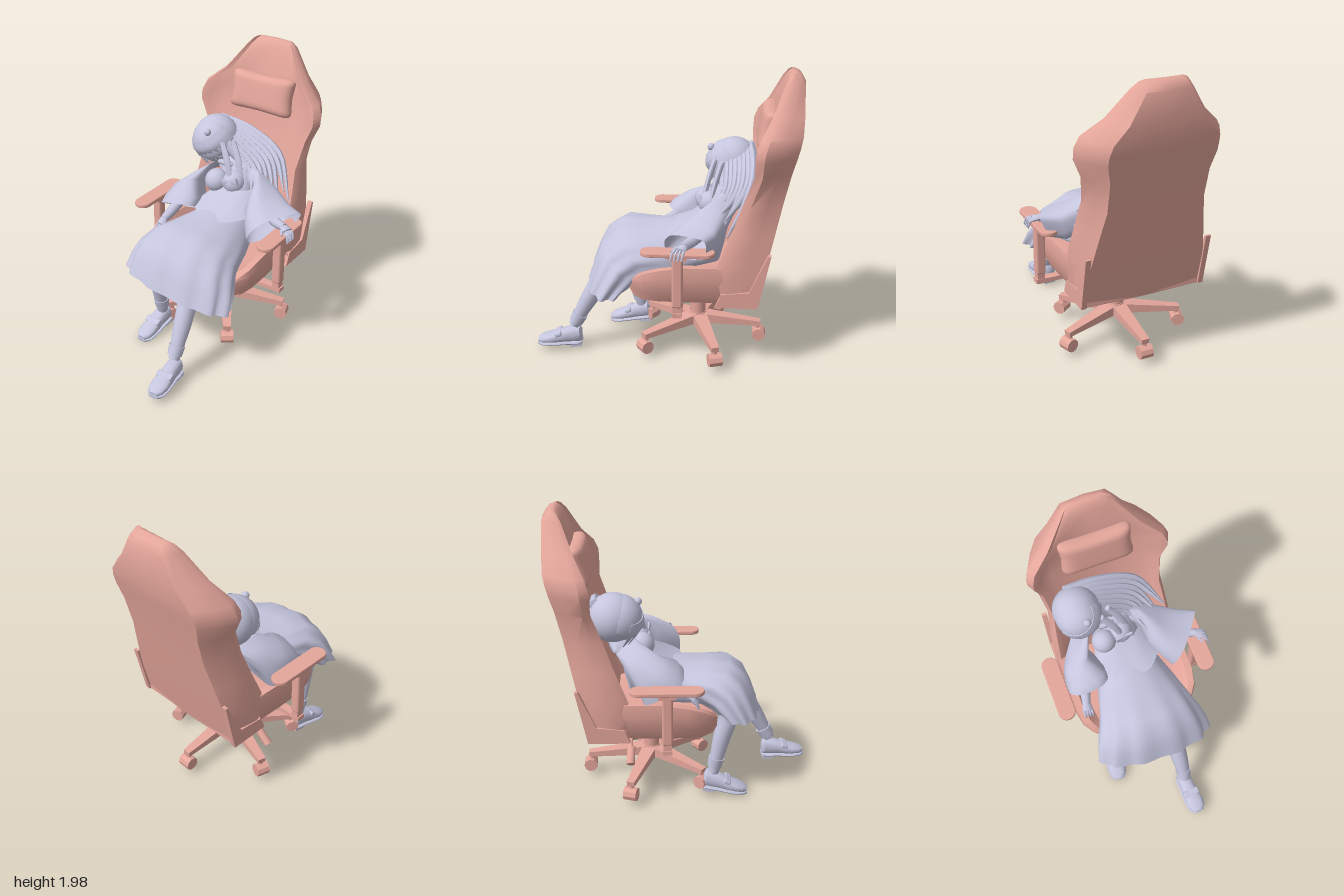
import * as THREE from 'three';
import { toCreasedNormals } from 'three/addons/utils/BufferGeometryUtils.js';
import { RoundedBoxGeometry } from 'three/addons/geometries/RoundedBoxGeometry.js';

const V = (x, y, z) => new THREE.Vector3(x, y, z);
const chairMat = new THREE.MeshStandardMaterial({ color: 0xe4a69b });
chairMat.name = 'chair pink';
const figureMat = new THREE.MeshStandardMaterial({ color: 0xc5c5de, side: THREE.DoubleSide });
figureMat.name = 'figure lavender';

// Skin a list of rings (each counter-clockwise about the direction of travel)
function loft(rings, { cap = true, crease = 0.7 } = {}) {
  const n = rings[0].length, pos = [], idx = [];
  rings.forEach(r => r.forEach(p => pos.push(p.x, p.y, p.z)));
  for (let i = 0; i < rings.length - 1; i++)
    for (let j = 0; j < n; j++) {
      const a = i * n + j, b = i * n + (j + 1) % n;
      idx.push(a, b, b + n, a, b + n, a + n);
    }
  if (cap) [0, rings.length - 1].forEach((r, end) => {
    const c = rings[r].reduce((s, p) => s.add(p), V(0, 0, 0)).divideScalar(n);
    const k = pos.push(c.x, c.y, c.z) / 3 - 1;
    for (let j = 0; j < n; j++) {
      const a = r * n + j, b = r * n + (j + 1) % n;
      end ? idx.push(k, a, b) : idx.push(k, b, a);
    }
  });
  const g = new THREE.BufferGeometry();
  g.setAttribute('position', new THREE.Float32BufferAttribute(pos, 3));
  g.setIndex(idx);
  return toCreasedNormals(g, crease);
}

// Oval ring c + u cos + v sin; pow below 1 squares it off, ripple adds folds
function ring(c, u, v, n = 24, pow = 1, ripple = 0, folds = 9) {
  const s = q => Math.sign(q) * Math.abs(q) ** pow;
  return Array.from({ length: n }, (_, j) => {
    const a = j / n * Math.PI * 2, k = 1 + ripple * Math.sin(a * folds);
    return c.clone().addScaledVector(u, s(Math.cos(a)) * k).addScaledVector(v, s(Math.sin(a)) * k);
  });
}

// Tapered sweep along a curve; radii are [wide, thick] pairs spread over its length
function sweep(pts, radii, { seg = 12, sides = 10, up = V(0, 1, 0), crease = 0.9, phase = 0 } = {}) {
  const curve = new THREE.CatmullRomCurve3(pts.map(p => V(...p))), rings = [];
  for (let i = 0; i <= seg; i++) {
    const t = i / seg, f = t * (radii.length - 1), k = Math.min(Math.floor(f), radii.length - 2);
    const r = [0, 1].map(q => THREE.MathUtils.lerp(radii[k][q], radii[k + 1][q], f - k));
    const c = curve.getPoint(t), T = curve.getTangent(t);
    const s = up.clone().cross(T).normalize(), m = T.clone().cross(s);
    rings.push(Array.from({ length: sides }, (_, j) => {
      const a = phase + j / sides * Math.PI * 2;
      return c.clone().addScaledVector(s, Math.cos(a) * r[0]).addScaledVector(m, Math.sin(a) * r[1]);
    }));
  }
  return loft(rings, { crease });
}

function adder(group, mat) {
  return (name, geo, p = [0, 0, 0], rot = [0, 0, 0]) => {
    const m = new THREE.Mesh(geo, mat);
    m.name = name; m.position.set(...p); m.rotation.set(...rot);
    group.add(m);
  };
}
const mirrorRing = half => [...half, ...half.slice(1, -1).reverse().map(p => V(-p.x, p.y, p.z))];

function makeChair() {
  const g = new THREE.Group(); g.name = 'chair'; g.position.x = -0.017;
  const add = adder(g, chairMat);

  // Backrest levels: height, half width, back z, wing front z, centre panel z
  const back = [[.5, .43, -.63, -.43, -.44], [.65, .44, -.665, -.345, -.45], [.8, .445, -.70, -.37, -.48],
    [1, .43, -.745, -.45, -.54], [1.2, .41, -.79, -.52, -.59], [1.4, .44, -.835, -.59, -.65],
    [1.52, .492, -.865, -.59, -.67], [1.58, .492, -.88, -.595, -.685], [1.65, .465, -.895, -.62, -.7],
    [1.76, .335, -.905, -.69, -.73], [1.94, .2, -.905, -.77, -.78], [1.985, .16, -.88, -.8, -.805], [2, .13, -.85, -.82, -.825]];
  add('backrest', loft(back.map(([y, w, zb, zf, zc]) => {
    const t = THREE.MathUtils.clamp((y - .6) / .9, 0, 1);
    return mirrorRing([V(0, y, zc), V(w * .66, y, zc), V(w * .83, y, zf - .02), V(w * .94, y, zf), V(w, y, zf + (zb - zf) * .2),
      V(w * (.99 - .1 * t), y, zf + (zb - zf) * .6), V(w * (.95 - .21 * t), y, zb + .01), V(0, y, zb)]);
  }), { crease: .85 }));

  // Seat sections: z, half width, bolster top, centre top, bottom
  const seat = [[-.58, .42, .7, .66, .51], [-.4, .44, .78, .67, .51], [-.15, .45, .78, .67, .51], [.02, .45, .755, .66, .51],
    [.12, .43, .72, .66, .51], [.19, .38, .67, .645, .52], [.22, .34, .61, .61, .55]];
  add('seat', loft(seat.map(([z, w, yt, yc, yb]) => mirrorRing([V(0, yb, z), V(w * .86, yb, z), V(w * .94, yb + .07, z),
    V(w, (yt + yb) / 2 + .06, z), V(w * .98, yt, z), V(w * .87, yt, z), V(w * .72, yc, z), V(0, yc, z)]))));

  // Pinched head pillow
  const pil = new THREE.SphereGeometry(1, 40, 24), pp = pil.attributes.position;
  for (let i = 0; i < pp.count; i++) {
    const x = pp.getX(i), y = pp.getY(i), z = pp.getZ(i), q = v => Math.sign(v) * Math.abs(v) ** .33;
    const X = q(x), Y = q(y);
    pp.setXYZ(i, X * .268 * (1 - .12 * (1 - Y * Y)), Y * .148 * (1 - .13 * (1 - X * X)), z * .07);
  }
  pil.computeVertexNormals();
  add('headPillow', pil, [0, 1.638, -.685], [-.22, 0, 0]);

  // Side brackets hugging the shell, armrests
  const plate = new THREE.Shape([[-.36, .505], [-.64, .505], [-.715, .88], [-.695, .88], [-.58, .62], [-.4, .6]].map(p => new THREE.Vector2(...p)));
  for (const s of [-1, 1]) {
    const pg = new THREE.ExtrudeGeometry(plate, { depth: .036, bevelEnabled: false }).rotateY(-Math.PI / 2);
    add('sideBracket', pg, [s * .425 + .018, 0, 0]);
    const pad = new THREE.Shape().absarc(0, .18, .054, 0, Math.PI).absarc(0, -.18, .054, Math.PI, Math.PI * 2);
    const padGeo = new THREE.ExtrudeGeometry(pad, { depth: .015, bevelSize: .006, bevelThickness: .007, bevelSegments: 2 }).rotateX(-Math.PI / 2);
    add('armPad', padGeo, [s * .516, .913, -.115]);
    add('armCollar', new THREE.BoxGeometry(.08, .03, .12), [s * .515, .892, -.115]);
    add('armPost', new RoundedBoxGeometry(.066, .36, .07, 2, .015), [s * .515, .72, -.115]);
    add('armLowerPost', new THREE.BoxGeometry(.05, .12, .055), [s * .515, .53, -.115]);
  }
  add('armCrossbar', new THREE.BoxGeometry(1.1, .03, .06), [0, .488, -.115]);
  add('rearCrossbar', new THREE.BoxGeometry(.86, .09, .24), [0, .552, -.51]);

  // Mechanism, levers and gas lift
  add('mechanism', new THREE.BoxGeometry(.3, .06, .3), [0, .485, -.22]);
  add('liftRod', new THREE.CylinderGeometry(.032, .032, .14, 16), [0, .42, -.23]);
  add('liftSleeve', new THREE.CylinderGeometry(.055, .055, .13, 16), [0, .31, -.23]);
  add('hub', new THREE.CylinderGeometry(.06, .075, .07, 16), [0, .225, -.23]);
  add('sideLever', sweep([[-.25, .49, -.36], [-.36, .465, -.36], [-.41, .43, -.36]], [[.012, .012], [.012, .012]]));
  add('sideLeverGrip', sweep([[-.385, .445, -.36], [-.48, .37, -.36]], [[.028, .025], [.028, .025]], { seg: 1 }));
  add('frontLever', sweep([[-.09, .48, -.15], [-.1, .35, -.07]], [[.035, .03], [.045, .03]], { seg: 1, sides: 8 }));

  // Five-star base: one leg points straight back
  for (let i = 0; i < 5; i++) {
    const leg = new THREE.Group(); leg.name = 'baseLeg';
    leg.position.z = -.23; leg.rotation.y = Math.PI + i * Math.PI * .4;
    const la = adder(leg, chairMat);
    la('spoke', sweep([[0, .225, 0], [0, .18, .45]], [[.075, .05], [.038, .025]], { seg: 1, sides: 4, phase: Math.PI / 4, crease: .3 }));
    la('casterStem', new THREE.CylinderGeometry(.018, .018, .08, 8), [0, .15, .43]);
    la('casterWheel', toCreasedNormals(new THREE.CylinderGeometry(.047, .047, .09, 9).rotateZ(Math.PI / 2), .3), [0, .1, .44]);
    g.add(leg);
  }
  return g;
}

function makeFigure() {
  const g = new THREE.Group(); g.name = 'seatedFigure';
  const add = adder(g, figureMat);

  // Skirt rings: top y, z, bottom y, z, half width, fold depth
  const skirt = [[.96, -.14, .86, -.42, .17, 0], [.94, 0, .7, -.38, .21, 0], [.925, .18, .66, -.15, .285, .01], [.92, .32, .65, .02, .33, .02],
    [.84, .42, .625, .11, .37, .03], [.71, .48, .6, .17, .4, .04], [.58, .525, .55, .24, .415, .05]];
  add('skirt', loft(skirt.map(([ty, tz, by, bz, w, f]) => ring(V(0, (ty + by) / 2, (tz + bz) / 2), V(w, -.045 * w / .4, 0),
    V(0, (ty - by) / 2, (tz - bz) / 2), 72, .93, f, 11)), { cap: false, crease: 1 }));

  // Torso, jacket and bust
  add('torso', sweep([[.0, .84, -.28], [-.01, 1, -.34], [-.06, 1.13, -.42], [-.12, 1.2, -.44]],
    [[.16, .13], [.14, .11], [.17, .1], [.07, .06]], { up: V(0, 0, 1), sides: 20 }));
  add('jacketHem', loft([[1.08, -.36, .15, .11], [1, -.28, .17, .14], [.95, -.2, .22, .19]].map(([y, z, a, b]) =>
    ring(V(0, y, z), V(a, 0, 0), V(0, -.02, b), 32, .85, .02, 7)), { cap: false }));
  for (const [x, y, z] of [[-.13, 1.08, -.28], [.0, 1.09, -.31]])
    add('bust', new THREE.SphereGeometry(.085, 20, 14), [x, y, z]);
  add('collar', new THREE.TorusGeometry(.075, .02, 8, 20), [-.1, 1.17, -.4], [1.1, 0, .2]);
  for (const s of [-1, 1])
    add('chestBow', sweep([[.01, 1.12, -.24], [.01 + s * .06, 1.12 + s * .02, -.235]], [[.008, .01], [.012, .03]], { seg: 2, sides: 6 }));

  // Wide sleeves: shoulder, elbow and squared open cuff
  const sleeve = rings => loft(rings.map(([c, u, v], i) => ring(V(...c), V(...u), V(...v), 32, 1 - .1 * i, .02, 5)), { cap: false, crease: 1 });
  add('rightSleeve', sleeve([[[-.17, 1.16, -.44], [.03, .06, 0], [0, .02, .06]], [[-.27, 1.11, -.37], [.06, .05, .02], [-.03, 0, .08]],
    [[-.35, 1.0, -.25], [.09, .05, 0], [-.02, .05, .1]], [[-.325, .92, -.17], [.14, .03, 0], [0, .08, .13]],
    [[-.325, .87, -.14], [.145, .03, 0], [0, .08, .135]]]));
  add('leftSleeve', sleeve([[[.0, 1.16, -.44], [0, .06, 0], [0, 0, .06]], [[.12, 1.11, -.4], [.03, .08, 0], [.04, 0, .09]],
    [[.24, 1.01, -.3], [.03, .11, 0], [-.06, 0, .11]], [[.33, .95, -.23], [.02, .11, 0], [-.1, 0, .13]],
    [[.42, .925, -.16], [.05, .1, 0], [-.11, -.03, .14]]]));

  // Forearms and hands
  add('rightForearm', sweep([[-.33, .98, -.22], [-.36, .87, -.06], [-.38, .82, .02]], [[.045, .045], [.03, .03]]));
  add('leftForearm', sweep([[.25, 1.0, -.3], [.42, .96, -.19], [.51, .965, -.15]], [[.045, .045], [.028, .028]]));
  add('rightPalm', sweep([[-.38, .83, .01], [-.385, .79, .06]], [[.025, .02], [.036, .018]], { seg: 3 }));
  add('leftPalm', sweep([[.49, .97, -.16], [.545, .955, -.135]], [[.025, .02], [.038, .018]], { seg: 3 }));
  for (let i = 0; i < 4; i++) {
    const o = (i - 1.5) * .018, r = [[.01, .01], [.007, .007]];
    add('rightFinger', sweep([[-.385 + o, .79, .05], [-.385 + o, .755, .085], [-.38 + o, .715, .09]], r, { seg: 5, sides: 6 }));
    add('leftFinger', sweep([[.54, .955, -.13 + o], [.57, .945, -.12 + o * 1.3], [.583, .9, -.11 + o * 1.3]], r, { seg: 5, sides: 6 }));
  }
  add('leftThumb', sweep([[.51, .96, -.11], [.535, .945, -.075]], [[.01, .01], [.007, .007]], { seg: 3, sides: 6 }));

  // Legs, rolled socks and shoes
  const legs = [
    { side: 'left', path: [[.11, .76, -.1], [.12, .72, .3], [.13, .58, .42], [.145, .4, .53], [.155, .2, .64]], sock: [.15, .255, .608], tilt: -.5, shoe: [.155, .06, .665], rot: [.02, .08, 0] },
    { side: 'right', path: [[-.15, .76, -.15], [-.22, .74, .22], [-.24, .62, .3], [-.26, .42, .255], [-.28, .16, .2]], sock: [-.272, .25, .217], tilt: .2, shoe: [-.285, .053, .205], rot: [.16, -.06, 0] }];
  for (const L of legs) {
    add(L.side + 'Leg', sweep(L.path, [[.09, .09], [.085, .085], [.07, .07], [.06, .06], [.038, .038]], { seg: 20, sides: 16, up: V(1, 0, 0) }));
    add(L.side + 'Sock', new THREE.CylinderGeometry(.056, .05, .07, 16), L.sock, [L.tilt, 0, 0]);
    const shoe = new THREE.Group(); shoe.name = L.side + 'Shoe';
    shoe.position.set(...L.shoe); shoe.rotation.set(...L.rot); g.add(shoe);
    const sa = adder(shoe, figureMat);
    const secs = [[-.08, .03, .1], [-.065, .048, .12], [-.02, .054, .115], [.03, .054, .105], [.08, .06, .085], [.15, .065, .065], [.2, .055, .052], [.23, .028, .035]];
    sa('upper', loft(secs.map(([z, w, h]) => ring(V(0, h / 2 + .01, z), V(w, 0, 0), V(0, h / 2, 0), 16, .8))));
    sa('sole', loft(secs.map(([z, w]) => ring(V(0, .01, z * 1.02), V(w + .006, 0, 0), V(0, .01, 0), 12, .5))));
    sa('heel', new THREE.BoxGeometry(.09, .03, .08), [0, -.005, -.035]);
    sa('strap', new RoundedBoxGeometry(.12, .03, .05, 2, .01), [0, .08, .085], [.35, 0, 0]);
  }

  // Tilted head with cap of hair and fringe
  const head = new THREE.Group(); head.name = 'head';
  head.position.set(-.25, 1.315, -.425); head.rotation.set(.25, .35, .45); g.add(head);
  const ha = adder(head, figureMat);
  const face = new THREE.SphereGeometry(.138, 24, 18), fp = face.attributes.position;
  for (let i = 0; i < fp.count; i++) {
    const y = fp.getY(i), k = y < 0 ? 1 + y * 2.6 : 1;
    fp.setXYZ(i, fp.getX(i) * k, y * 1.1, fp.getZ(i) * (y < 0 ? 1 + y * 1.2 : 1));
  }
  face.computeVertexNormals();
  ha('face', face, [0, -.03, .02]);
  ha('hairCrown', new THREE.SphereGeometry(.16, 28, 14, 0, Math.PI * 2, 0, Math.PI * .45));
  ha('hairBack', new THREE.SphereGeometry(.163, 24, 20), [.01, -.005, -.035]);
  for (let i = -4; i <= 4; i++) {
    const a = i * .3, x = Math.sin(a), z = Math.cos(a), d = Math.abs(i) > 2 ? -.13 : -.03;
    ha('fringeLock', sweep([[x * .13, .09, z * .13], [x * .158, .03, z * .158], [x * .15 + .01, d, z * .15]],
      [[.028, .008], [.034, .006], [.004, .003]], { up: V(-x, 0, -z), seg: 6, sides: 6 }));
  }
  for (const s of [-1, 1])
    ha('closedEye', new THREE.TorusGeometry(.022, .003, 5, 10, Math.PI), [s * .05, -.055, .142], [0, s * .35, Math.PI]);
  ha('nose', new THREE.ConeGeometry(.007, .016, 6), [0, -.075, .145], [.6, 0, 0]);
  ha('hairKnot', new THREE.SphereGeometry(.026, 12, 8), [.05, .125, .1]);
  ha('neck', new THREE.CylinderGeometry(.04, .045, .12, 12), [.02, -.17, -.01], [0, 0, .4]);

  // Long hair sweeping over the shoulder toward the left arm
  for (let i = 0; i < 8; i++) {
    const t = i / 7, z = -.59 + .2 * t, e = .38 - .2 * t;
    add('longHair', sweep([[-.29 + .1 * t, 1.42 - .03 * t, z + .02], [-.06, 1.375 - .1 * t, z], [e * .55, 1.25 - .1 * t, z + .02],
      [e, .99 + .09 * (i % 2), -.43 + .18 * t]], [[.035, .04], [.03, .042], [.025, .035], [.004, .006]], { seg: 14, sides: 8 }));
  }
  for (const [x, z] of [[-.09, -.29], [-.03, -.34]])
    add('sideLock', sweep([[x - .03, 1.36, z - .04], [x + .04, 1.24, z], [x + .08, 1.12, z + .03], [x + .08, 1.04, z + .06]],
      [[.02, .02], [.026, .02], [.02, .014], [.003, .003]], { up: V(0, 0, 1), sides: 7 }));
  return g;
}

export function createModel() {
  const model = new THREE.Group();
  model.name = 'figureInChair';
  model.add(makeChair(), makeFigure());
  return model;
}
